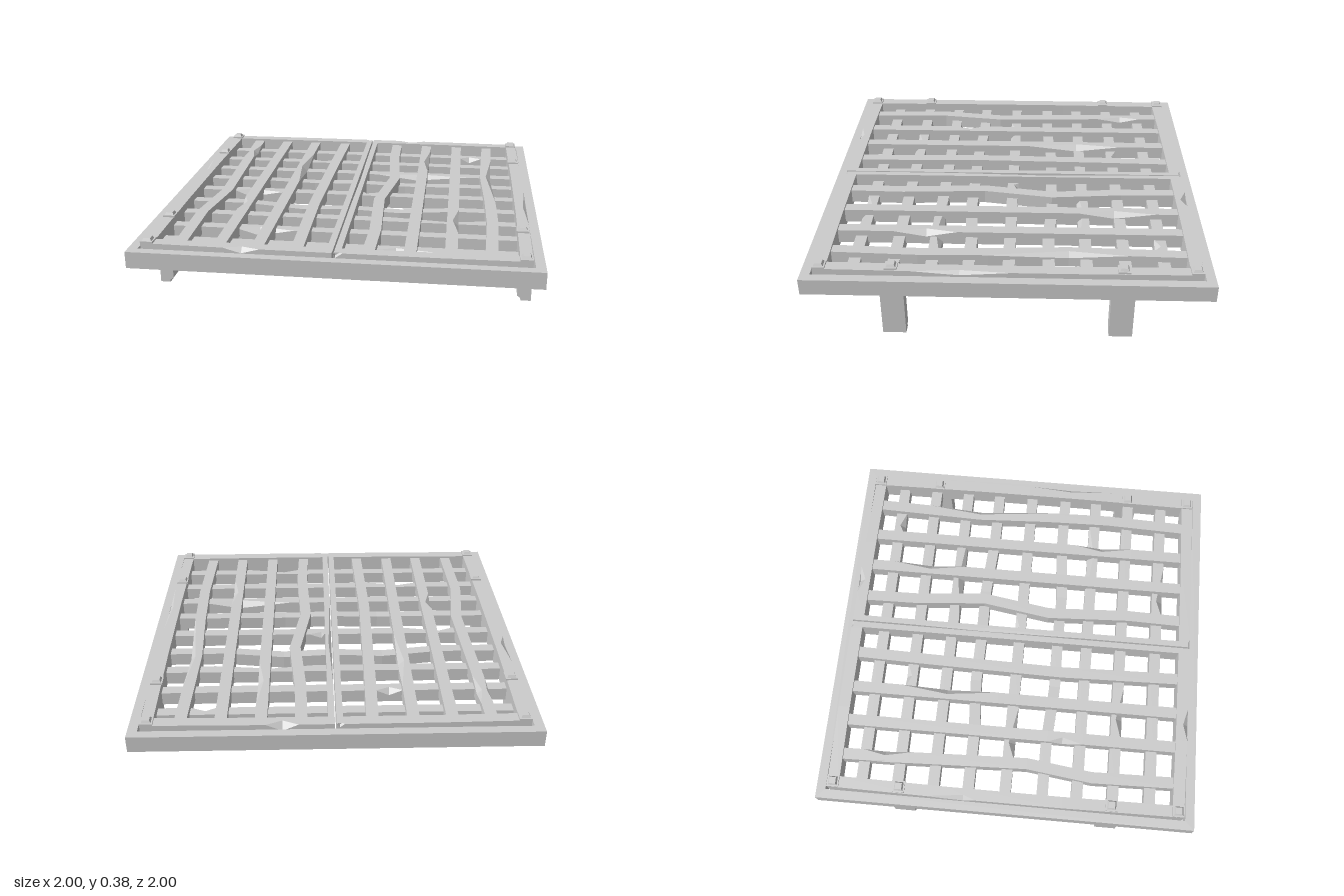
import * as THREE from 'three';

const material = new THREE.MeshStandardMaterial({ color: 0xcccccc, flatShading: true });

// Piecewise linear lookup of row column k at t (rows sorted by column 0)
function sample(rows, t, k) {
  for (let i = 1; i < rows.length; i++) {
    const a = rows[i - 1], b = rows[i];
    if (t <= b[0]) return a[k] + (b[k] - a[k]) * Math.max(0, (t - a[0]) / (b[0] - a[0]));
  }
  return rows[rows.length - 1][k];
}

// Worn beam along x or z. path: [along, across, drop]; chips: [start, deepest, end, side, depth]
function beam(name, axis, path, width, y0, y1, chips = []) {
  const first = path[0][0], last = path[path.length - 1][0];
  const own = chips.filter(c => c[1] > first && c[1] < last);
  const stops = [...path.map(p => p[0]), ...own.flatMap(c => c.slice(0, 3))]
    .filter(t => t >= first && t <= last).sort((a, b) => a - b).filter((t, i, a) => !i || t - a[i - 1] > 1e-4);
  const cut = (t, side) => Math.max(0, ...own.filter(c => c[3] === side)
    .map(c => sample([[c[0], 0], [c[1], c[4]], [c[2], 0]], t, 1)));
  const loops = stops.map(t => {
    const s = sample(path, t, 1), dy = sample(path, t, 2), h = width / 2;
    const r = cut(t, 1), l = cut(t, -1);
    const section = [[-h, y0], [h, y0], [h, y1 - r], [h - r, y1], [-h + l, y1], [-h, y1 - l]];
    return section.map(([u, y]) => axis === 'z' ? [s + u, y - dy, t] : [t, y - dy, s + u]);
  });
  const out = [];
  const tri = (a, b, c) => out.push(...(axis === 'z' ? [a, b, c] : [a, c, b]).flat());
  for (let i = 0; i + 1 < loops.length; i++) {
    const A = loops[i], B = loops[i + 1];
    for (let j = 0; j < 6; j++) {
      const k = (j + 1) % 6;
      tri(A[j], A[k], B[k]);
      tri(A[j], B[k], B[j]);
    }
  }
  const A = loops[0], B = loops[loops.length - 1];
  for (let j = 1; j < 5; j++) {
    tri(A[0], A[j + 1], A[j]);
    tri(B[0], B[j], B[j + 1]);
  }
  const g = new THREE.BufferGeometry();
  g.setAttribute('position', new THREE.Float32BufferAttribute(out, 3));
  g.computeVertexNormals();
  const mesh = new THREE.Mesh(g, material);
  mesh.name = name;
  return mesh;
}

export function createModel() {
  const model = new THREE.Group();
  model.name = 'floorGrate';
  const add = (name, geometry, x = 0, y = 0, z = 0, parent = model) => {
    const m = new THREE.Mesh(geometry, material);
    m.name = name;
    m.position.set(x, y, z);
    parent.add(m);
    return m;
  };
  const square = (Type, h) => new Type([[-h, -h], [h, -h], [h, h], [-h, h]].map(p => new THREE.Vector2(...p)));

  // Outer frame
  const ring = square(THREE.Shape, 1);
  ring.holes.push(square(THREE.Path, 0.952));
  const frame = new THREE.ExtrudeGeometry(ring, { depth: 0.085, bevelEnabled: false });
  add('outerFrame', frame.rotateX(-Math.PI / 2), 0, 0.25, 0);

  // Long bars: path [z, x, drop] and chips
  const straight = x => [[-0.9, x, 0], [0.9, x, 0]];
  const longBars = [
    [[[-0.9, -0.755, 0], [-0.6, -0.75, 0], [0.1, -0.725, 0], [0.45, -0.77, 0], [0.9, -0.76, 0]],
      [[-0.78, -0.66, -0.52, 1, 0.025], [-0.76, -0.66, -0.54, -1, 0.01]]],
    [straight(-0.565), [[0.2, 0.28, 0.39, -1, 0.03]]],
    [straight(-0.375), [[-0.63, -0.37, -0.09, 1, 0.032]]],
    [[[-0.9, -0.175, 0], [-0.5, -0.185, 0], [0.25, -0.197, 0], [0.9, -0.18, 0]], []],
    [[[-0.9, 0.17, 0], [-0.6, 0.175, 0], [-0.22, 0.207, 0], [0.15, 0.15, 0], [0.6, 0.172, 0], [0.9, 0.165, 0]], []],
    [straight(0.365), [[-0.77, -0.55, -0.36, 1, 0.03]]],
    [straight(0.56), [[0.27, 0.43, 0.6, 1, 0.03]]],
    [[[-0.9, 0.755, 0], [-0.3, 0.737, 0], [0.1, 0.757, 0], [0.45, 0.765, 0], [0.9, 0.75, 0]],
      [[-0.6, -0.3, 0.15, 1, 0.025]]]
  ];
  const bars = new THREE.Group();
  bars.name = 'bars';
  model.add(bars);
  for (const [path, chips] of longBars) bars.add(beam('longBar', 'z', path, 0.06, 0.275, 0.348, chips));

  // Cross bars: z and chips; the pair at 0.2 is bent and sags in each half
  const crossBars = [
    [-0.77, [[0.59, 0.645, 0.72, 1, 0.03]]],
    [-0.578, [[-0.35, -0.28, -0.21, -1, 0.03]]],
    [-0.387, [[0.09, 0.33, 0.63, 1, 0.03]]],
    [-0.2, []],
    [-0.003, [[-0.7, -0.61, -0.42, 1, 0.035], [0.045, 0.06, 0.13, -1, 0.025]]],
    [0.195, []],
    [0.378, [[0.24, 0.55, 0.74, -1, 0.035]]],
    [0.568, [[-0.55, -0.43, -0.25, 1, 0.035]]],
    [0.763, [[0.19, 0.29, 0.5, 1, 0.035]]]
  ];
  for (const [z, chips] of crossBars) {
    for (const side of [-1, 1]) {
      const bent = Math.abs(Math.abs(z) - 0.2) < 0.01;
      const path = bent
        ? [[0.02, z + Math.sign(z) * 0.018, 0.005], [0.27, z + Math.sign(z) * 0.022, 0.014], [0.58, z, 0], [0.9, z, 0]]
        : [[0.02, z, 0], [0.9, z, 0]];
      const placed = path.map(([x, a, d]) => [side * x, a, d]);
      if (side < 0) placed.reverse();
      bars.add(beam('crossBar', 'x', placed, 0.06, 0.25, 0.318, chips));
    }
  }

  // Rims of the two panels
  const sideChips = [
    [[-0.42, -0.22, -0.15, -1, 0.025]],
    [[-0.02, 0.23, 0.47, 1, 0.018]]
  ];
  const endChips = {
    back: [[0.18, 0.26, 0.34, -1, 0.035], [-0.04, -0.015, -0.001, -1, 0.02]],
    front: [[-0.53, -0.44, -0.35, 1, 0.025], [0.006, 0.015, 0.05, 1, 0.025]]
  };
  [-1, 1].forEach((side, i) => {
    const panel = new THREE.Group();
    panel.name = side < 0 ? 'rightPanelRim' : 'leftPanelRim';
    model.add(panel);
    const outer = [[-0.94, 0.911, 0], [-0.3, 0.918, 0], [0.3, 0.918, 0], [0.94, 0.911, 0]];
    panel.add(beam('sideRail', 'z', outer.map(([z, x, d]) => [z, side * x, d]), 0.06, 0.25, 0.36, sideChips[i]));
    const middle = side < 0 ? -0.016 : 0.024;
    panel.add(beam('middleRail', 'z', [[-0.94, middle, 0], [0.94, middle, 0]], 0.032, 0.25, 0.36,
      side > 0 ? [[-0.6, -0.2, 0.35, -1, 0.015]] : []));
    for (const [name, s] of [['back', -1], ['front', 1]]) {
      const x0 = side < 0 ? 0.001 : 0.009;
      const path = [[x0, s * 0.919, 0], [0.5, s * 0.918, 0], [0.94, s * 0.911, 0]].map(([x, z, d]) => [side * x, z, d]);
      if (side < 0) path.reverse();
      panel.add(beam(name + 'Rail', 'x', path, 0.062, 0.25, 0.36, endChips[name]));
    }
  });

  // Bolts along the sides
  const washer = new THREE.BoxGeometry(0.062, 0.01, 0.062);
  const head = new THREE.CylinderGeometry(0.024, 0.034, 0.014, 4).rotateY(Math.PI / 4);
  for (const x of [-0.91, 0.91]) {
    for (const z of [-0.912, -0.562, 0.562, 0.912]) {
      const bolt = new THREE.Group();
      bolt.name = 'bolt';
      bolt.position.set(x, 0.36, z);
      add('boltWasher', washer, 0, 0.004, 0, bolt);
      add('boltHead', head, 0, 0.015, 0, bolt);
      model.add(bolt);
    }
  }

  // Legs with the inner foot edge cut away
  const profile = new THREE.Shape([[0.92, 0], [0.972, 0], [0.972, 0.255], [0.902, 0.255], [0.902, 0.025], [0.92, 0.012]]
    .map(p => new THREE.Vector2(...p)));
  const leg = new THREE.ExtrudeGeometry(profile, { depth: 0.116, bevelEnabled: false }).translate(0, 0, -0.058);
  for (const z of [-0.56, 0.56]) {
    add('leftLeg', leg, 0, 0, z);
    add('rightLeg', leg, 0, 0, z).rotation.y = Math.PI;
  }
  return model;
}
